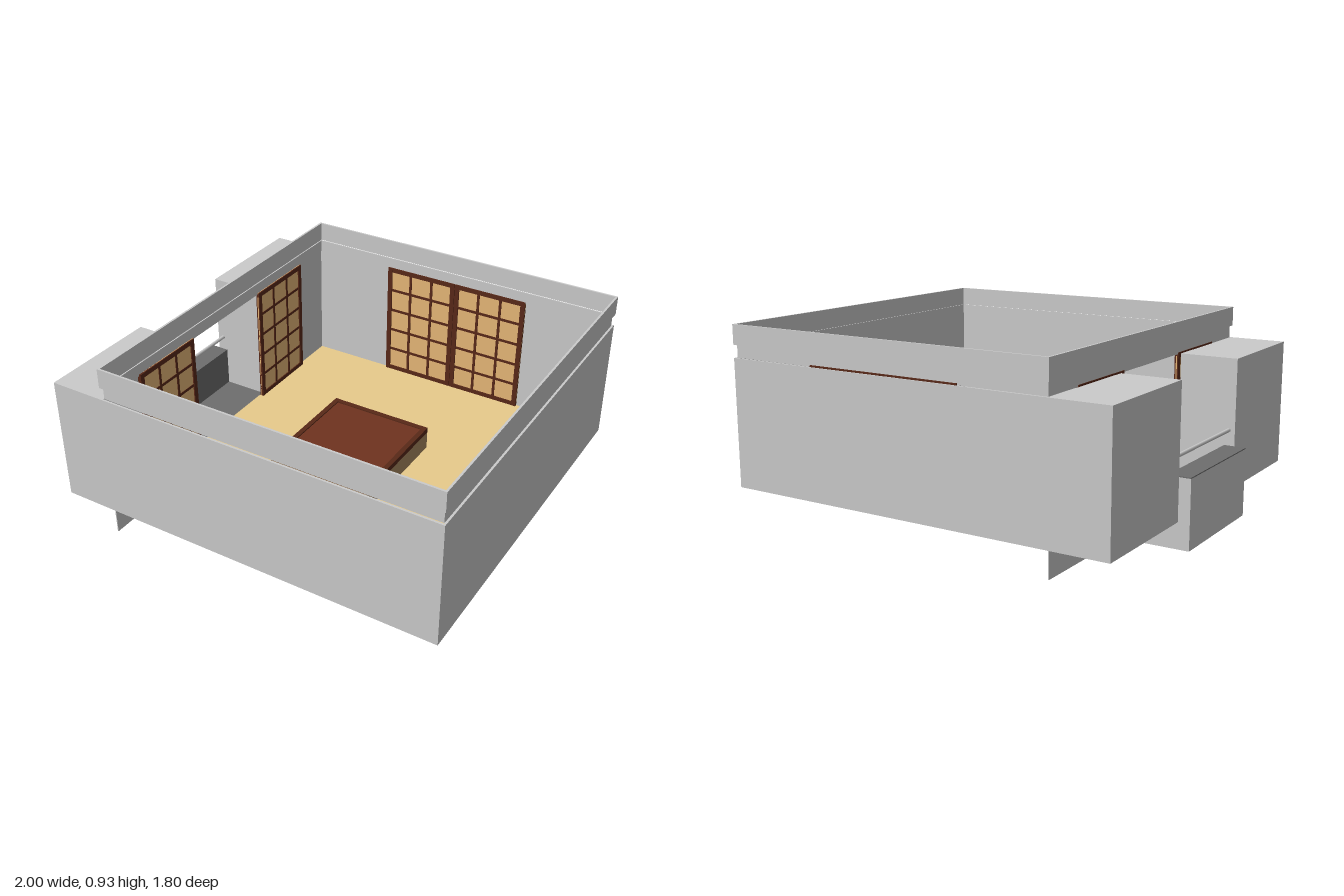
import * as THREE from 'three';

const mat = (color) => new THREE.MeshStandardMaterial({ color });
const GREY = mat(0xcccccc), DARK = mat(0x6e6e6e), FLOOR = mat(0xe8cb8b), WOOD = mat(0x592918),
  TOP = mat(0x6f331f), PAPER = mat(0xe8b878), BODY = mat(0xa98960), RED = mat(0xeb2c23);

// Box given by its extents
function box(parent, name, m, x0, x1, y0, y1, z0, z1) {
  const mesh = new THREE.Mesh(new THREE.BoxGeometry(x1 - x0, y1 - y0, z1 - z0), m);
  mesh.position.set((x0 + x1) / 2, (y0 + y1) / 2, (z0 + z1) / 2);
  mesh.name = name;
  parent.add(mesh);
  return mesh;
}

function group(parent, name) {
  const g = new THREE.Group();
  g.name = name;
  parent.add(g);
  return g;
}

// Closed rectangular band of thin wall
function ring(parent, name, x0, x1, z, y0, y1, t) {
  const s = new THREE.Shape([[x0, -z], [x1, -z], [x1, z], [x0, z]].map((p) => new THREE.Vector2(...p)));
  const a = x0 + t, b = x1 - t, c = z - t;
  s.holes.push(new THREE.Path([[a, -c], [a, c], [b, c], [b, -c]].map((p) => new THREE.Vector2(...p))));
  const geo = new THREE.ExtrudeGeometry(s, { depth: y1 - y0, bevelEnabled: false });
  geo.rotateX(-Math.PI / 2);
  const mesh = new THREE.Mesh(geo, GREY);
  mesh.position.y = y0;
  mesh.name = name;
  parent.add(mesh);
}

// Lattice door: paper sheet with a wooden grid, base at the origin, facing +z
function latticeDoor() {
  const g = new THREE.Group(), w = 0.39, h = 0.615, cols = 3, rows = 5;
  g.name = 'latticeDoor';
  box(g, 'paper', PAPER, -w / 2, w / 2, 0, h, -0.003, 0.003);
  for (let i = 0; i <= cols; i++) {
    const edge = i === 0 || i === cols, t = edge ? 0.012 : 0.007;
    const x = -w / 2 + 0.012 + (i * (w - 0.024)) / cols, d = edge ? 0.009 : 0.006;
    box(g, 'upright', WOOD, x - t, x + t, 0, h, -d, d);
  }
  for (let j = 0; j <= rows; j++) {
    const edge = j === 0 || j === rows, t = edge ? 0.012 : 0.007;
    const y = 0.012 + (j * (h - 0.024)) / rows, d = edge ? 0.0085 : 0.0055;
    box(g, 'crossbar', WOOD, -w / 2, w / 2, y - t, y + t, -d, d);
  }
  return g;
}

export function createModel() {
  const model = new THREE.Group();
  model.name = 'room';

  // Room shell
  const shell = group(model, 'shell');
  box(shell, 'floor', FLOOR, -0.67, 0.99, 0.163, 0.17, -0.89, 0.89);
  box(shell, 'sideWall', GREY, 0.99, 1, 0.165, 0.775, -0.9, 0.9);
  for (const s of [-1, 1]) {
    const z = [s * 0.9, s * 0.89].sort((a, b) => a - b);
    box(shell, 'longWall', GREY, -0.67, 1, 0.165, 0.775, ...z);
    // Solid wings either side of the balcony
    const wz = [s * 0.9, s * 0.3].sort((a, b) => a - b);
    box(shell, 'wing', GREY, -0.945, -0.665, 0.165, 0.775, ...wz);
    box(shell, 'skirt', GREY, -0.675, -0.67, 0.045, 0.165, ...wz);
  }
  ring(shell, 'corniceGroove', -0.662, 0.99, 0.887, 0.775, 0.835, 0.006);
  ring(shell, 'corniceLip', -0.672, 1, 0.9, 0.835, 0.93, 0.01);

  // Balcony with parapet and rail
  const balcony = group(model, 'balcony');
  box(balcony, 'base', GREY, -1, -0.68, 0.045, 0.155, -0.3, 0.3);
  box(balcony, 'deck', DARK, -0.9, -0.67, 0.155, 0.166, -0.3, 0.3);
  box(balcony, 'innerSkirt', DARK, -0.68, -0.67, 0.045, 0.155, -0.3, 0.3);
  box(balcony, 'parapet', GREY, -1, -0.9, 0.155, 0.362, -0.3, 0.3);
  box(balcony, 'parapetCap', DARK, -1, -0.895, 0.362, 0.367, -0.3, 0.3);
  box(balcony, 'parapetLining', DARK, -0.9, -0.895, 0.166, 0.362, -0.3, 0.3);
  const rail = new THREE.Mesh(new THREE.CylinderGeometry(0.009, 0.009, 0.6, 12), GREY);
  rail.rotation.x = Math.PI / 2;
  rail.position.set(-0.915, 0.44, 0);
  rail.name = 'rail';
  balcony.add(rail);

  // Lattice doors on the back wall and beside the balcony
  const doors = group(model, 'doors');
  for (const s of [-1, 1]) {
    const back = latticeDoor();
    back.position.set(0.155 + s * 0.196, 0.168, -0.884);
    const side = latticeDoor();
    side.rotation.y = Math.PI / 2;
    side.position.set(-0.656, 0.168, s * 0.465);
    doors.add(back, side);
  }

  // Low table set through the floor
  const table = group(model, 'table');
  box(table, 'tableBody', BODY, -0.208, 0.322, 0.035, 0.26, -0.298, 0.298);
  box(table, 'tableTop', TOP, -0.2, 0.314, 0.26, 0.28, -0.29, 0.29);
  for (const s of [-1, 1]) {
    const x = 0.057 + s * 0.2525, z = s * 0.2875;
    box(table, 'rimSide', WOOD, x - 0.0125, x + 0.0125, 0.26, 0.286, -0.3, 0.3);
    box(table, 'rimEnd', WOOD, -0.208, 0.322, 0.26, 0.2855, z - 0.0125, z + 0.0125);
    for (const e of [-1, 1]) {
      const fx = 0.057 + s * 0.248, fz = e * 0.283;
      box(table, 'foot', WOOD, fx - 0.015, fx + 0.015, 0, 0.036, fz - 0.014, fz + 0.014);
    }
  }

  // Chair facing the table
  const chair = group(model, 'chair');
  chair.position.set(0.022, 0, 0.76);
  box(chair, 'seat', WOOD, -0.09, 0.09, 0.205, 0.228, -0.09, 0.09);
  const cushion = new THREE.Mesh(new THREE.SphereGeometry(1, 28, 16), RED);
  cushion.scale.set(0.076, 0.022, 0.068);
  cushion.position.set(0, 0.23, -0.012);
  cushion.name = 'cushion';
  chair.add(cushion);
  for (const s of [-1, 1]) {
    const x = s * 0.086;
    box(chair, 'frontLeg', WOOD, x - 0.015, x + 0.015, 0.157, 0.235, -0.1, -0.072);
    box(chair, 'backLeg', WOOD, x - 0.015, x + 0.015, 0.157, 0.235, 0.07, 0.098);
    box(chair, 'backPost', WOOD, s * 0.045 - 0.012, s * 0.045 + 0.012, 0.22, 0.35, 0.078, 0.096);
  }
  box(chair, 'backRail', WOOD, -0.1, 0.1, 0.345, 0.395, 0.076, 0.094);

  return model;
}
